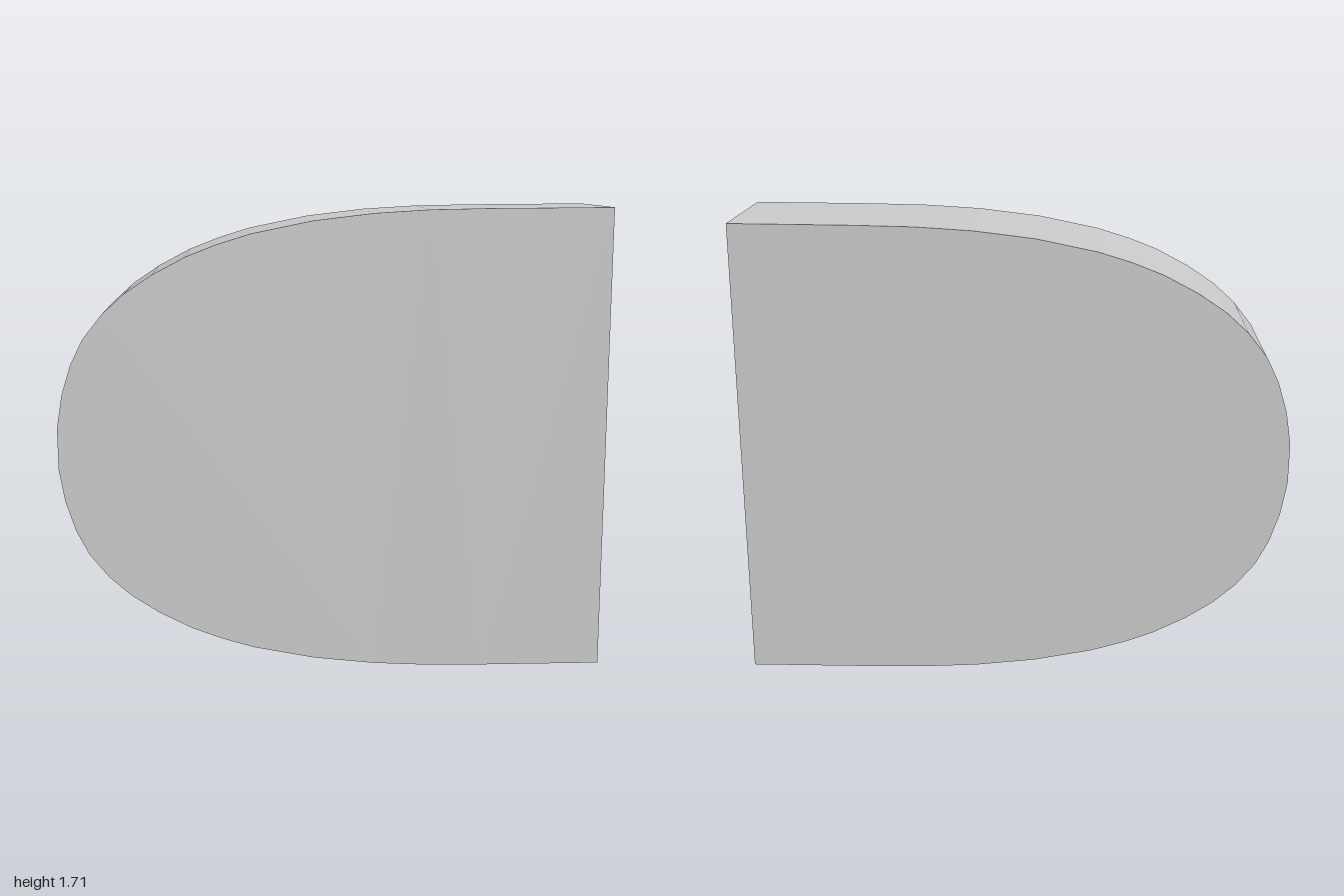
import * as THREE from 'three';

const HEIGHT = 1.71;
const DEPTH = 0.5;

export function createModel() {
  const group = new THREE.Group();
  group.name = 'roundedBlock';

  // Upper half of the outline, from the flat end to the rounded nose
  const upper = [
    [1, 1.71], [0.55, 1.707], [0.34, 1.703], [0.14, 1.691], [-0.08, 1.665],
    [-0.3, 1.62], [-0.42, 1.583], [-0.53, 1.54], [-0.65, 1.477], [-0.75, 1.41],
    [-0.83, 1.338], [-0.9, 1.25], [-0.945, 1.16], [-0.98, 1.05], [-1, 0.93],
  ].map(([x, y]) => new THREE.Vector2(x, y));

  // Lower half mirrors the upper one
  const lower = upper.map((p) => new THREE.Vector2(p.x, HEIGHT - p.y)).reverse();

  const geometry = new THREE.ExtrudeGeometry(new THREE.Shape([...upper, ...lower]), {
    depth: DEPTH,
    bevelEnabled: false,
  });
  geometry.translate(0, 0, -DEPTH / 2);

  const body = new THREE.Mesh(
    geometry,
    new THREE.MeshStandardMaterial({ color: 0xcccccc, flatShading: true })
  );
  body.name = 'body';
  group.add(body);
  return group;
}
